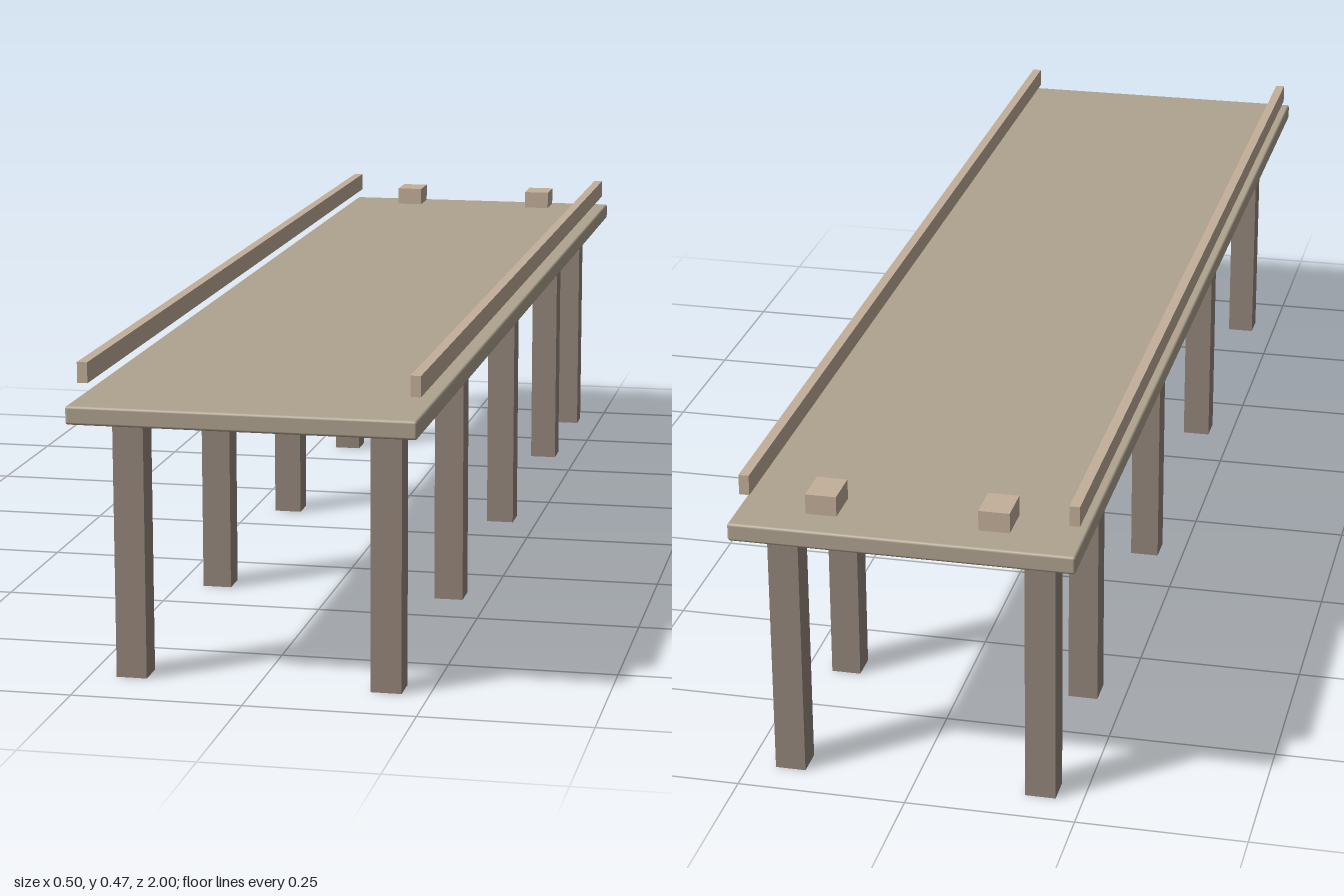
import * as THREE from 'three';
import { RoundedBoxGeometry } from 'three/addons/geometries/RoundedBoxGeometry.js';

const material = (color) => new THREE.MeshStandardMaterial({ color });

export function createModel() {
  const model = new THREE.Group();
  model.name = 'pier';
  const deckWood = material(0xb0a490);
  const postWood = material(0x96877b);
  const trimWood = material(0xc4b09a);

  const add = (name, geometry, mat, x, y, z) => {
    const mesh = new THREE.Mesh(geometry, mat);
    mesh.name = name;
    mesh.position.set(x, y, z);
    model.add(mesh);
  };

  // Deck slab with softened edges
  add('deck', new RoundedBoxGeometry(0.5, 0.027, 2, 2, 0.004), deckWood, 0, 0.4065, 0);

  const postGeometry = new THREE.BoxGeometry(0.045, 0.394, 0.045);
  const railGeometry = new THREE.BoxGeometry(0.015, 0.03, 1.9);
  const blockGeometry = new THREE.BoxGeometry(0.045, 0.03, 0.06);

  for (const [side, s] of [['left', 1], ['right', -1]]) {
    // Row of square support posts, the last one closing the back end
    [0.88, 0.38, -0.12, -0.62, -0.92].forEach((z, i) =>
      add(`${side}Post${i + 1}`, postGeometry, postWood, s * 0.1875, 0.197, z));

    // Edge rail floating just above the deck
    add(`${side}Rail`, railGeometry, trimWood, s * 0.2385, 0.458, 0);

    // Mooring block near the back end
    add(`${side}Block`, blockGeometry, trimWood, s * 0.125, 0.44, -0.925);
  }

  return model;
}
